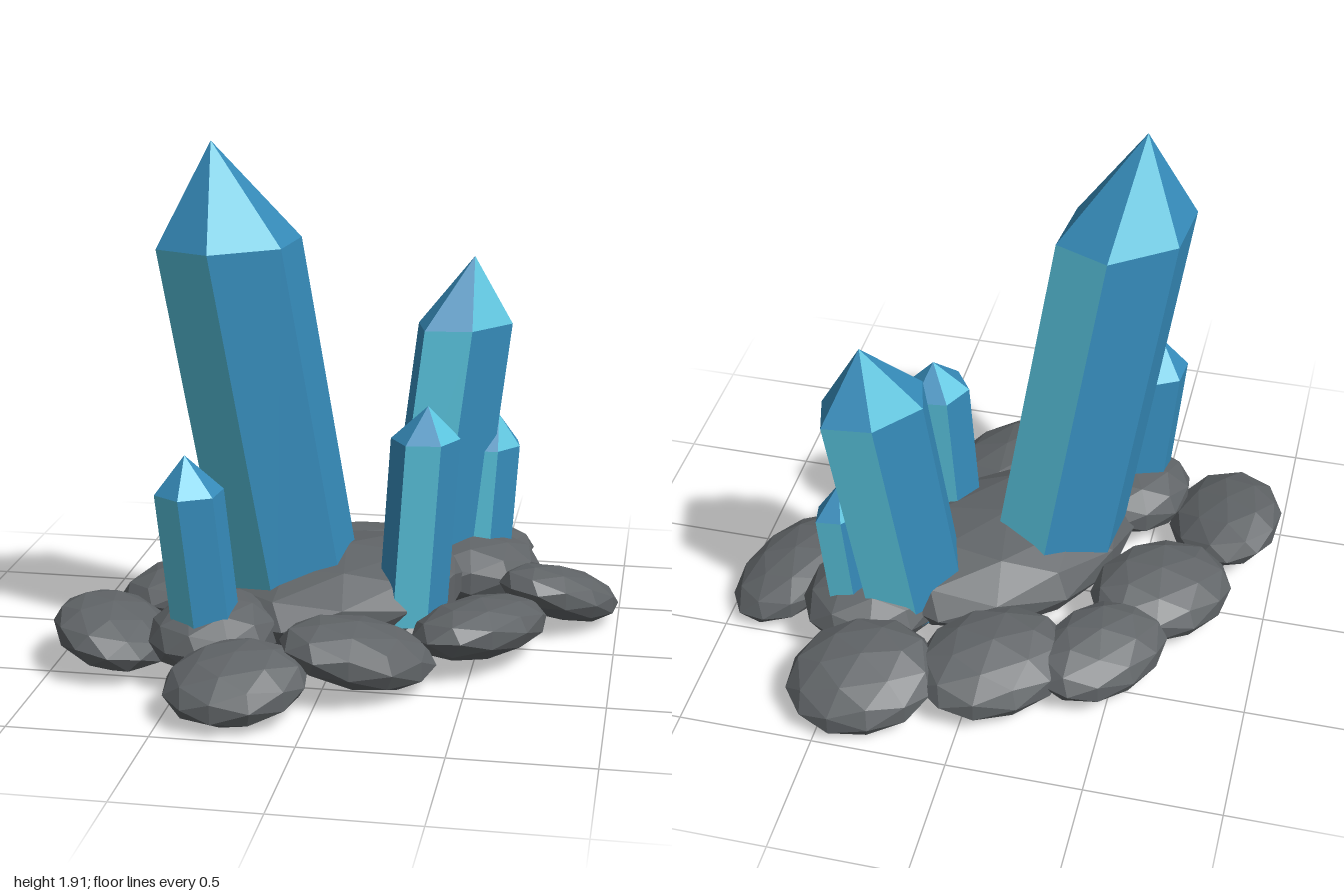
import * as THREE from 'three';

const cyan = new THREE.MeshStandardMaterial({ color: 0x58c2dc, flatShading: true });
cyan.name = 'pale cyan';
const blue = new THREE.MeshStandardMaterial({ color: 0x368cbb, flatShading: true });
blue.name = 'crystal blue';
const stone = new THREE.MeshStandardMaterial({ color: 0x606467, flatShading: true });
stone.name = 'grey stone';

// Leaning six-sided crystal: level rings, pointed cap, cyan on opposite faces.
// p and q are two neighbouring rim corners relative to the rim centre [x, z].
function crystal({ name, centre, rim, tip, base, lean, p, q }) {
  const r = [q[0] - p[0], q[1] - p[1]];
  const ring = [p, q, r, ...[p, q, r].map(([x, z]) => [-x, -z])];
  const at = ([x, z], y) => [
    centre[0] + x + lean[0] * (y - rim), y, centre[1] + z + lean[1] * (y - rim),
  ];
  const apex = at([0, 0], tip), foot = at([0, 0], base);
  const faces = { cyan: [], blue: [] };
  for (let i = 0; i < 6; i++) {
    const a = ring[i], b = ring[(i + 1) % 6];
    const a0 = at(a, base), b0 = at(b, base), a1 = at(a, rim), b1 = at(b, rim);
    faces[i % 3 === 0 ? 'cyan' : 'blue'].push(a0, b0, b1, a0, b1, a1);
    faces[i % 3 === 1 ? 'cyan' : 'blue'].push(a1, b1, apex);
    faces.blue.push(b0, a0, foot);
  }
  const geo = new THREE.BufferGeometry();
  const points = [...faces.cyan, ...faces.blue].flat();
  geo.setAttribute('position', new THREE.Float32BufferAttribute(points, 3));
  geo.addGroup(0, faces.cyan.length, 0);
  geo.addGroup(faces.cyan.length, faces.blue.length, 1);
  geo.computeVertexNormals();
  const mesh = new THREE.Mesh(geo, [cyan, blue]);
  mesh.name = name;
  return mesh;
}

// Flattened faceted boulder: half sizes a, h, b; turned in plan; sloped in x and z.
function boulder(name, [x, y, z], [a, h, b], degrees, [sx, sz]) {
  const t = THREE.MathUtils.degToRad(degrees), c = Math.cos(t), s = Math.sin(t);
  const m = new THREE.Matrix4().set(
    a * c, 0, b * s, x,
    a * (c * sx - s * sz), h, b * (s * sx + c * sz), y,
    -a * s, 0, b * c, z,
    0, 0, 0, 1,
  );
  const geo = new THREE.IcosahedronGeometry(1.02, 1).applyMatrix4(m);
  geo.computeVertexNormals();
  const mesh = new THREE.Mesh(geo, stone);
  mesh.name = name;
  return mesh;
}

export function createModel() {
  const model = new THREE.Group();
  model.name = 'crystalCluster';

  // Crystals
  const crystals = new THREE.Group();
  crystals.name = 'crystals';
  [
    { name: 'tallCrystal', centre: [-0.37, 0.245], rim: 1.55, tip: 1.915, base: 0.15,
      lean: [-0.139, 0.139], p: [-0.225, 0.163], q: [-0.025, 0.248] },
    { name: 'backCrystal', centre: [0.387, -0.44], rim: 1.14, tip: 1.395, base: 0.15,
      lean: [0.115, -0.1], p: [-0.135, 0.17], q: [0.042, 0.15] },
    { name: 'frontSmallCrystal', centre: [-0.46, 0.54], rim: 0.725, tip: 0.86, base: 0.15,
      lean: [-0.085, 0.08], p: [-0.11, 0.06], q: [-0.012, 0.12] },
    { name: 'middleCrystal', centre: [0.308, 0.095], rim: 0.83, tip: 0.95, base: 0.15,
      lean: [0.06, -0.04], p: [-0.057, 0.115], q: [0.068, 0.1] },
    { name: 'backSmallCrystal', centre: [0.51, -0.46], rim: 0.655, tip: 0.78, base: 0.15,
      lean: [0.06, -0.08], p: [-0.075, 0.095], q: [0.015, 0.085] },
  ].forEach((spec) => crystals.add(crystal(spec)));

  // Central mound and the boulders under the crystals
  const rocks = new THREE.Group();
  rocks.name = 'rocks';
  rocks.add(
    boulder('centralBoulder', [0, 0.2, -0.02], [0.54, 0.175, 0.36], 50, [0.04, 0]),
    boulder('backCrystalBoulder', [0.42, 0.19, -0.37], [0.29, 0.135, 0.24], 45, [0, 0.06]),
    boulder('frontCrystalBoulder', [-0.4, 0.18, 0.44], [0.25, 0.13, 0.22], 60, [0, -0.05]),
  );

  // Outer ring: centre, half sizes, plan angle, slope
  [
    [[0.37, 0.14, -0.77], [0.275, 0.115, 0.22], 20, [0, 0.25]],
    [[-0.08, 0.15, -0.6], [0.295, 0.115, 0.22], 35, [0.05, 0.15]],
    [[-0.45, 0.14, -0.44], [0.28, 0.11, 0.18], 52, [0.12, 0.1]],
    [[-0.61, 0.15, -0.08], [0.285, 0.115, 0.215], 45, [0.1, 0.05]],
    [[-0.785, 0.14, 0.395], [0.265, 0.11, 0.215], 100, [-0.18, 0]],
    [[-0.25, 0.13, 0.78], [0.25, 0.11, 0.205], 25, [0, -0.18]],
    [[0.13, 0.155, 0.5], [0.295, 0.115, 0.21], 42, [-0.22, 0.08]],
    [[0.52, 0.14, 0.14], [0.325, 0.11, 0.2], 62, [0.05, 0.14]],
    [[0.78, 0.14, -0.27], [0.265, 0.105, 0.185], 52, [-0.2, 0.22]],
  ].forEach((spec, i) => rocks.add(boulder(`outerBoulder${i + 1}`, ...spec)));

  model.add(crystals, rocks);
  return model;
}
